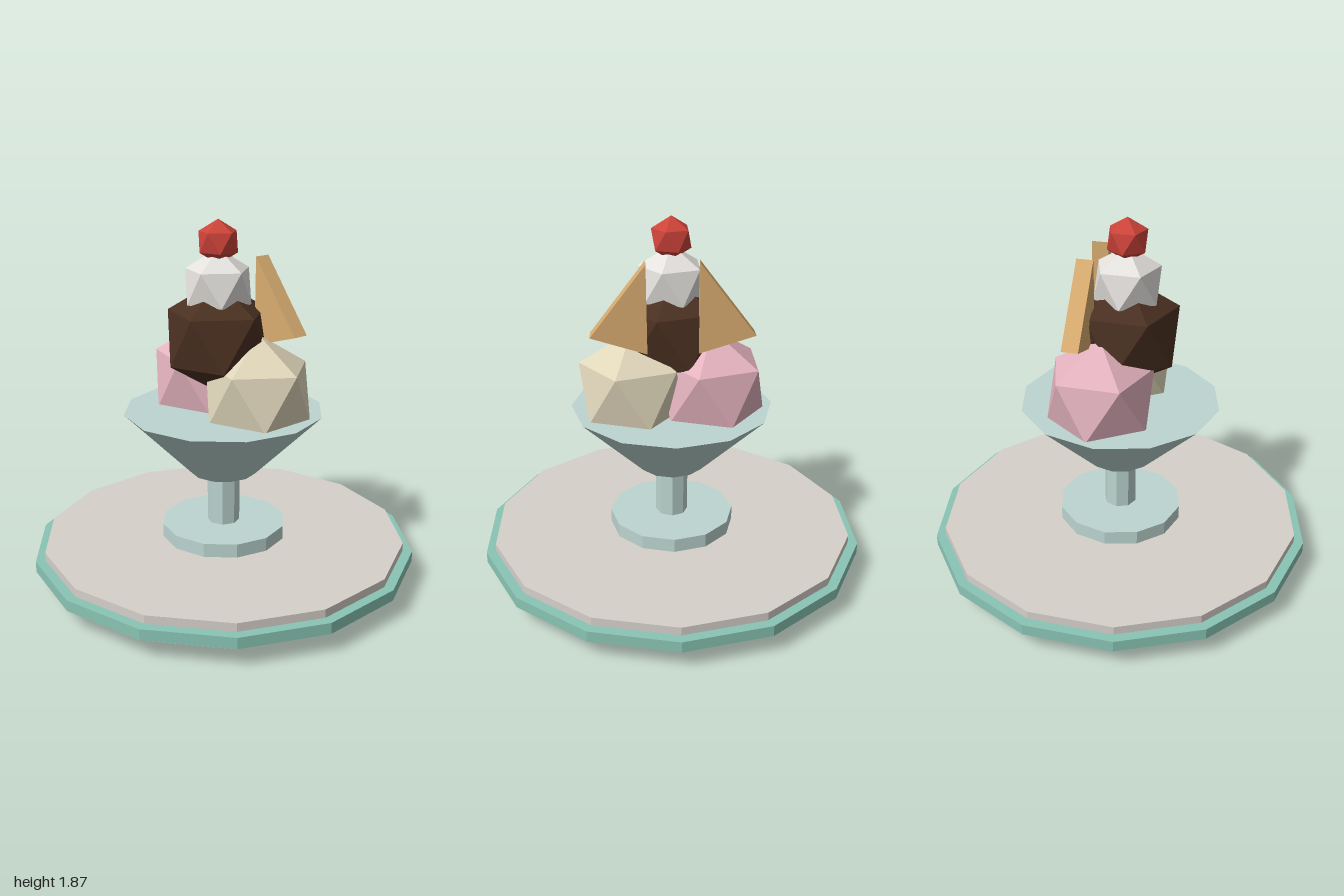
import * as THREE from 'three';

function flat(name, color) {
  const m = new THREE.MeshStandardMaterial({ color, flatShading: true });
  m.name = name;
  return m;
}

export function createModel() {
  const stone = flat('warm grey', 0xd6d0ca);
  const teal = flat('teal', 0x8ac5b5);
  const glass = flat('pale glass', 0xbcd5d0);
  const pink = flat('strawberry pink', 0xe3b2be);
  const cream = flat('vanilla cream', 0xdfd5b9);
  const brown = flat('chocolate brown', 0x4a3021);
  const white = flat('whipped white', 0xe4e1dd);
  const red = flat('cherry red', 0xcc4339);
  const tan = flat('wafer tan', 0xd8ac70);

  const model = new THREE.Group();
  model.name = 'iceCreamSundae';

  const add = (name, geometry, material, x = 0, y = 0, z = 0) => {
    const mesh = new THREE.Mesh(geometry, material);
    mesh.name = name;
    mesh.position.set(x, y, z);
    model.add(mesh);
    return mesh;
  };

  // Faceted disc or cone section between two heights
  const ring = (name, material, sides, rBottom, rTop, y0, y1) =>
    add(name, new THREE.CylinderGeometry(rTop, rBottom, y1 - y0, sides), material, 0, (y0 + y1) / 2);

  // Round plate with a coloured rim
  ring('plateFoot', stone, 12, 0.655, 0.655, 0, 0.075);
  ring('plate', stone, 14, 0.95, 0.95, 0.075, 0.207);
  ring('plateRim', teal, 14, 1, 1, 0.107, 0.164);

  // Footed dessert glass
  ring('glassBase', glass, 12, 0.326, 0.326, 0.207, 0.279);
  ring('glassStem', glass, 8, 0.084, 0.084, 0.279, 0.557);
  ring('glassBowl', glass, 12, 0.172, 0.515, 0.557, 0.897);

  // Scoops: icosahedra standing on a corner
  const ball = (name, material, r, x, y, z) => {
    const geometry = new THREE.IcosahedronGeometry(r, 0);
    geometry.rotateZ(-Math.atan(2 / (1 + Math.sqrt(5))));
    add(name, geometry, material, x, y, z);
  };
  ball('strawberryScoop', pink, 0.297, -0.2, 1.02, -0.05);
  ball('vanillaScoop', cream, 0.297, 0.2, 1.02, -0.05);
  ball('chocolateScoop', brown, 0.29, 0, 1.283, 0.035);
  ball('whippedCream', white, 0.186, 0, 1.54, 0.035);
  ball('cherry', red, 0.11, 0, 1.758, 0.035);

  // Pair of leaning triangular wafers
  for (const [name, s] of [['leftWafer', 1], ['rightWafer', -1]]) {
    const shape = new THREE.Shape([
      new THREE.Vector2(s * 0.13, 1.687),
      new THREE.Vector2(s * 0.125, 1.24),
      new THREE.Vector2(s * 0.402, 1.327),
    ]);
    const geometry = new THREE.ExtrudeGeometry(shape, { depth: 0.084, bevelEnabled: false });
    add(name, geometry, tan, 0, 0, -0.18);
  }

  return model;
}
